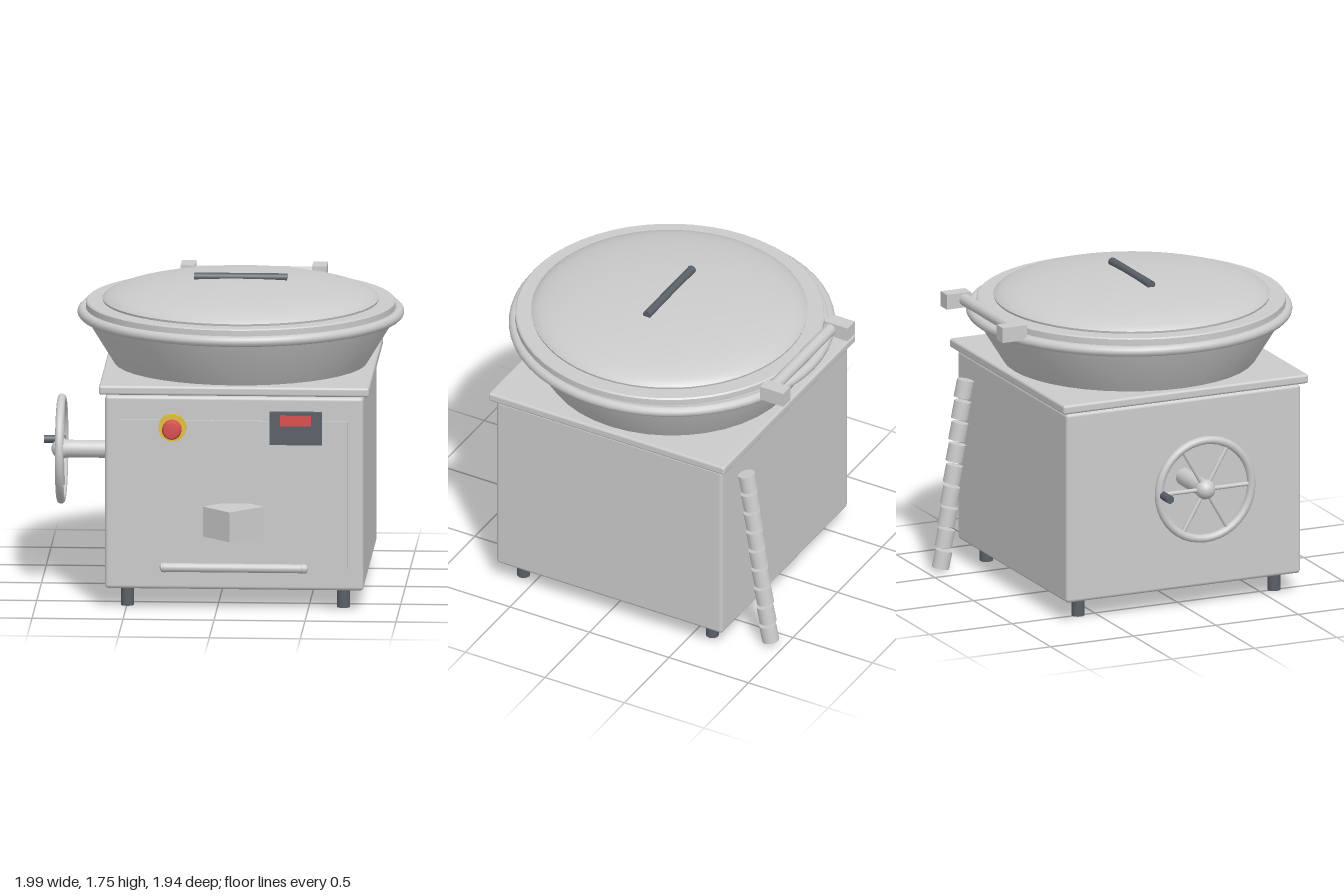
import * as THREE from 'three';
import { RoundedBoxGeometry } from 'three/addons/geometries/RoundedBoxGeometry.js';
import { toCreasedNormals } from 'three/addons/utils/BufferGeometryUtils.js';

const CX = 0.095, CZ = -0.013;
const mat = (color) => new THREE.MeshStandardMaterial({ color });
const grey = mat(0xcccccc), dark = mat(0x5a6068), red = mat(0xd94f4f), yellow = mat(0xe0c040);

export function createModel() {
  const model = new THREE.Group();

  const add = (name, geometry, x, y, z, material = grey, parent = model) => {
    const mesh = new THREE.Mesh(geometry, material);
    mesh.name = name;
    mesh.position.set(x, y, z);
    parent.add(mesh);
    return mesh;
  };
  const box = (w, h, d) => new THREE.BoxGeometry(w, h, d);
  // cylinder lying along 'x', 'y' or 'z'
  const rod = (r, length, axis = 'y', sides = 20) => {
    const g = new THREE.CylinderGeometry(r, r, length, sides);
    if (axis === 'x') g.rotateZ(Math.PI / 2);
    if (axis === 'z') g.rotateX(Math.PI / 2);
    return g;
  };
  const lathe = (points, sides) => toCreasedNormals(
    new THREE.LatheGeometry(points.map(([r, y]) => new THREE.Vector2(r, y)), sides), 0.5);

  // cabinet with its worktop and feet
  add('cabinet', new RoundedBoxGeometry(1.42, 1.08, 1.42, 2, 0.02), CX, 0.65, CZ);
  add('worktopNeck', box(1.36, 0.04, 1.36), CX, 1.2, CZ);
  add('worktop', new RoundedBoxGeometry(1.485, 0.052, 1.485, 2, 0.014), CX, 1.225, CZ);
  for (const x of [-0.497, 0.69])
    for (const z of [-0.6, 0.587]) add('foot', rod(0.036, 0.13, 'y', 12), x, 0.065, z, dark);

  // tapered pan and rolled rim
  add('pan', lathe([[0, 1.25], [0.695, 1.25], [0.855, 1.51], [0.87, 1.555], [0, 1.555]], 40), CX, 0, CZ);
  const rim = add('panRim', new THREE.TorusGeometry(0.867, 0.03, 12, 56), CX, 1.53, CZ);
  rim.rotation.x = Math.PI / 2;

  // lid: flat flange and shallow dome
  add('lidFlange', lathe([[0, 1.55], [0.85, 1.55], [0.85, 1.59], [0.842, 1.597], [0, 1.597]], 56), CX, 0, 0);
  const dome = [[0.755, 1.59]];
  for (let i = 0; i <= 14; i++) {
    const a = 0.12 + (i / 14) * (Math.PI / 2 - 0.12);
    dome.push([i === 14 ? 0 : 0.765 * Math.cos(a), 1.594 + 0.124 * Math.sin(a)]);
  }
  add('lidDome', lathe(dome, 56), CX, 0, 0.003);
  add('lidHandle', rod(0.024, 0.51, 'x', 12), CX, 1.722, 0.003, dark);

  // hinge at the back
  for (const x of [-0.238, 0.485]) add('hingeBlock', box(0.08, 0.085, 0.147), x, 1.582, -0.88);
  add('hingeBar', rod(0.034, 0.72, 'x'), 0.123, 1.583, -0.843);

  // front panel and controls
  add('frontPanel', box(1.25, 0.818, 0.03), CX, 0.649, 0.697);
  add('displayPanel', box(0.288, 0.182, 0.035), 0.435, 1.021, 0.718, dark);
  add('displayScreen', box(0.17, 0.058, 0.012), 0.435, 1.066, 0.736, red);
  add('buttonRing', rod(0.077, 0.025, 'z', 28), -0.243, 1.02, 0.722, yellow);
  const button = add('stopButton',
    lathe([[0, 0], [0.044, 0], [0.044, 0.03], [0.053, 0.035], [0.053, 0.073], [0.044, 0.09], [0, 0.095]], 24),
    -0.243, 1.02, 0.73, red);
  button.rotation.x = Math.PI / 2;

  // angular spout whose edge points forward
  const outline = new THREE.Shape([[-0.07, -0.81], [0.107, -0.637], [0.26, -0.797], [0.083, -0.97]]
    .map(([x, y]) => new THREE.Vector2(x, y)));
  const spout = add('spout',
    new THREE.ExtrudeGeometry(outline, { depth: 0.167, bevelEnabled: false }), 0, 0.43, 0);
  spout.rotation.x = -Math.PI / 2;

  // towel bar
  add('frontBar', rod(0.025, 0.8, 'x', 16), 0.097, 0.243, 0.753);
  for (const x of [-0.285, 0.478]) {
    add('frontBarPost', rod(0.018, 0.07, 'z', 12), x, 0.243, 0.725);
    add('frontBarEnd', new THREE.SphereGeometry(0.027, 16, 10), x, 0.243, 0.753);
  }

  // tilting handwheel on the right side
  const wheel = new THREE.Group();
  wheel.name = 'handwheel';
  wheel.position.set(-0.89, 0.75, CZ);
  model.add(wheel);
  const ring = add('wheelRim', new THREE.TorusGeometry(0.28, 0.023, 12, 40), 0, 0, 0, grey, wheel);
  ring.rotation.y = Math.PI / 2;
  add('wheelHub', new THREE.SphereGeometry(0.056, 20, 14), 0, 0, 0, grey, wheel);
  add('wheelShaft', rod(0.049, 0.29, 'x'), 0.145, 0, 0, grey, wheel);
  add('wheelCrank', rod(0.023, 0.12, 'x', 12), -0.05, 0, -0.262, dark, wheel);
  for (let i = 0; i < 6; i++) {
    const a = (i * Math.PI) / 3;
    const spoke = add('wheelSpoke', rod(0.012, 0.28, 'y', 8),
      0, 0.14 * Math.sin(a), 0.14 * Math.cos(a), grey, wheel);
    spoke.rotation.x = Math.PI / 2 - a;
  }

  // segmented hose hanging at the back
  for (let i = 0; i < 9; i++) {
    const t = i / 8;
    const segment = add('hoseSegment', rod(0.048, 0.1, 'y', 16),
      0.603, 1.026 - 0.958 * t, -0.776 - 0.132 * t);
    segment.rotation.x = 0.21;
  }
  return model;
}
